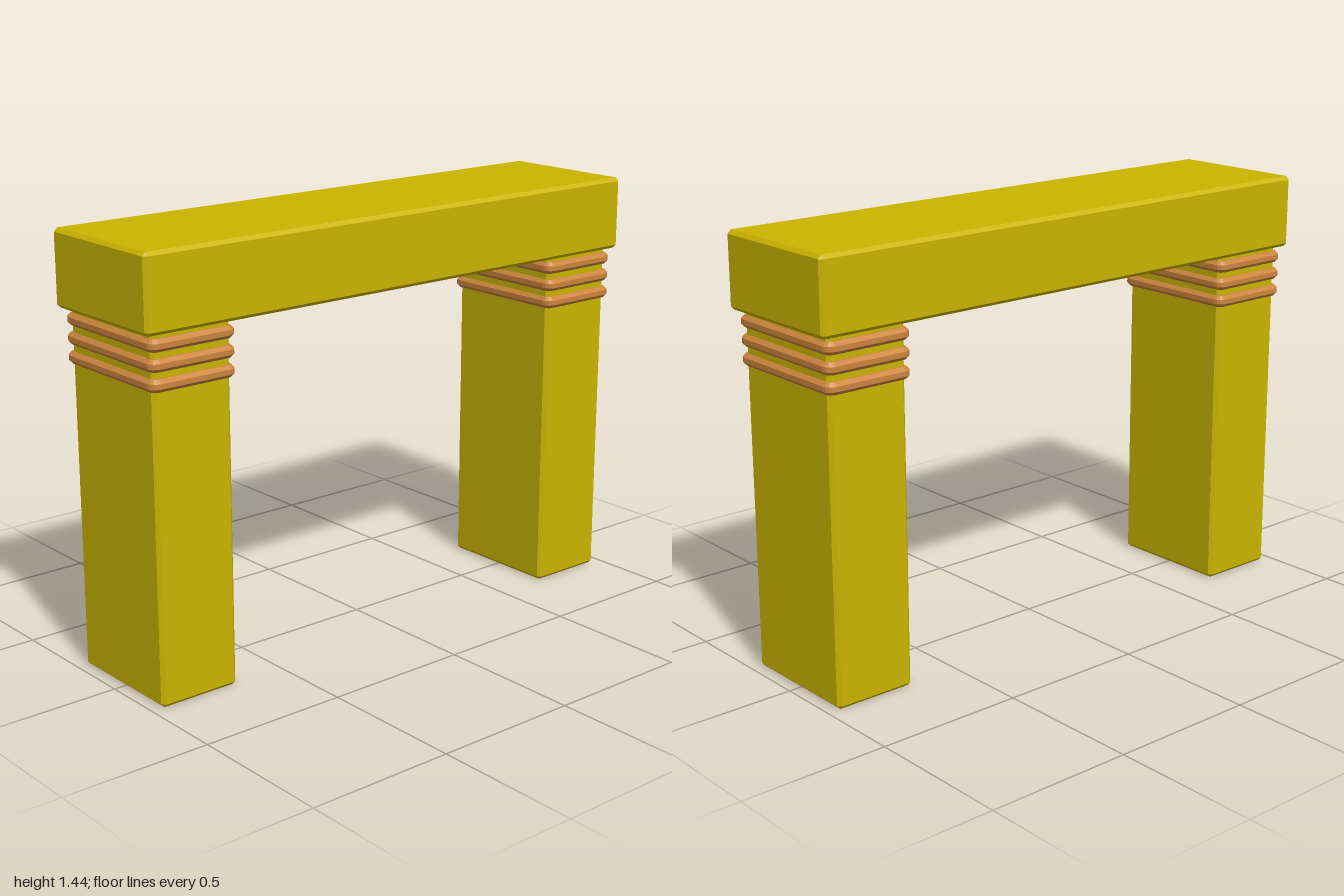
import * as THREE from 'three';
import { ConvexGeometry } from 'three/addons/geometries/ConvexGeometry.js';

// Box with a small flat chamfer on every edge
function chamferBox(w, h, d, b) {
  const points = [];
  for (const sx of [-1, 1]) for (const sy of [-1, 1]) for (const sz of [-1, 1]) {
    for (let axis = 0; axis < 3; axis++) {
      const half = [w / 2, h / 2, d / 2].map((v, i) => (i === axis ? v : v - b));
      points.push(new THREE.Vector3(sx * half[0], sy * half[1], sz * half[2]));
    }
  }
  return new ConvexGeometry(points);
}

// Octagonal rod bent round a rectangle, with rounded corners
function bandGeometry(halfX, halfZ, radius, bend = 0.01, sides = 8, steps = 4) {
  const corners = [[1, 1], [1, -1], [-1, -1], [-1, 1]];
  const rings = corners.length * (steps + 1);
  const positions = [];
  const index = [];
  corners.forEach(([sx, sz], c) => {
    for (let k = 0; k <= steps; k++) {
      const turn = (1 - c - k / steps) * (Math.PI / 2);
      const ring = c * (steps + 1) + k;
      const next = (ring + 1) % rings;
      for (let i = 0; i < sides; i++) {
        const a = ((i + 0.5) / sides) * Math.PI * 2;
        const out = bend + Math.cos(a) * radius;
        positions.push(
          sx * (halfX - bend) + Math.cos(turn) * out,
          Math.sin(a) * radius,
          sz * (halfZ - bend) + Math.sin(turn) * out,
        );
        const j = (i + 1) % sides;
        const p = ring * sides + i, q = ring * sides + j;
        const r = next * sides + j, s = next * sides + i;
        index.push(p, s, r, p, r, q);
      }
    }
  });
  const geometry = new THREE.BufferGeometry();
  geometry.setAttribute('position', new THREE.Float32BufferAttribute(positions, 3));
  geometry.setIndex(index);
  const flat = geometry.toNonIndexed();
  flat.computeVertexNormals();
  return flat;
}

export function createModel() {
  const group = new THREE.Group();
  const gold = new THREE.MeshStandardMaterial({ color: 0xcab500 });
  gold.name = 'olive gold';
  const bronze = new THREE.MeshStandardMaterial({ color: 0xcd853f });
  bronze.name = 'bronze';

  const add = (parent, name, geometry, material, x, y) => {
    const mesh = new THREE.Mesh(geometry, material);
    mesh.name = name;
    mesh.position.set(x, y, 0);
    parent.add(mesh);
  };

  // Lintel across the top
  add(group, 'lintel', chamferBox(2, 0.25, 0.5, 0.012), gold, 0, 1.317);

  // Two posts, each with three bands near the top
  const postGeometry = chamferBox(0.284, 1.2, 0.442, 0.012);
  const band = bandGeometry(0.136, 0.22, 0.0215);
  for (const side of [1, -1]) {
    const post = new THREE.Group();
    post.name = side > 0 ? 'leftPost' : 'rightPost';
    post.position.x = side * 0.823;
    add(post, 'shaft', postGeometry, gold, 0, 0.6);
    [1.035, 1.096, 1.157].forEach((y) => add(post, 'band', band, bronze, 0, y));
    group.add(post);
  }
  return group;
}
